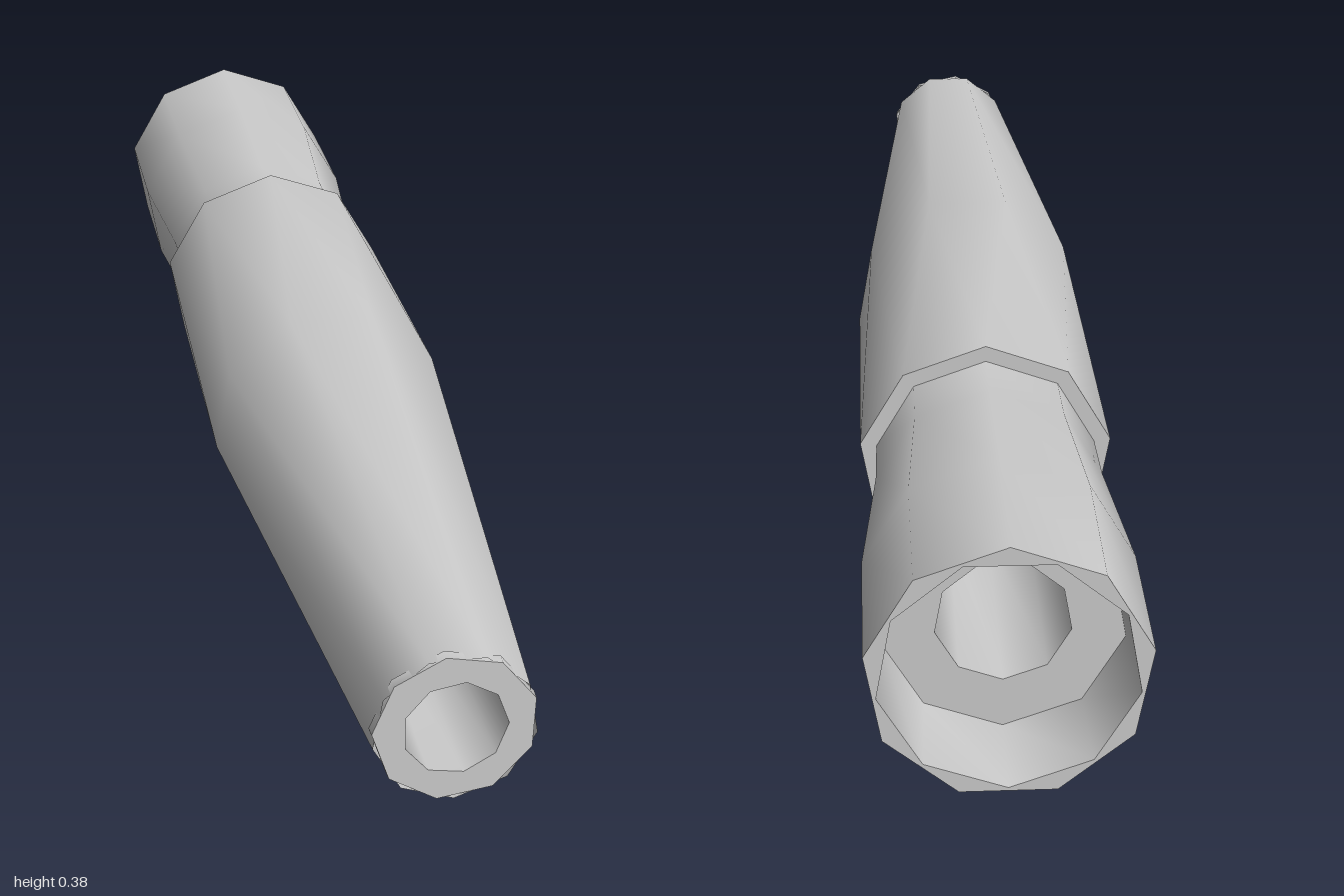
import * as THREE from 'three';

const SIDES = 9;
const AXIS_Y = 0.189;

// Smooth nine-sided strip through rings [z, radius, turn in degrees from straight up].
// Rings run from the front backwards for outward-facing walls.
function strip(rings) {
  const positions = [], index = [];
  rings.forEach(([z, r, turn = 0]) => {
    for (let i = 0; i < SIDES; i++) {
      const t = THREE.MathUtils.degToRad(turn + (i * 360) / SIDES);
      positions.push(r * Math.sin(t), r * Math.cos(t), z);
    }
  });
  for (let k = 0; k < rings.length - 1; k++) {
    for (let i = 0; i < SIDES; i++) {
      const j = (i + 1) % SIDES;
      const a = k * SIDES + i, b = k * SIDES + j;
      index.push(a, b, a + SIDES, b, b + SIDES, a + SIDES);
    }
  }
  const geometry = new THREE.BufferGeometry();
  geometry.setAttribute('position', new THREE.Float32BufferAttribute(positions, 3));
  geometry.setIndex(index);
  geometry.computeVertexNormals();
  return geometry;
}

export function createModel() {
  const group = new THREE.Group();
  group.name = 'taperedTube';
  const material = new THREE.MeshStandardMaterial({ color: 0xcccccc, side: THREE.DoubleSide });

  const parts = {
    // front bore with a pointed bottom
    frontBoreBottom: [[0.53, 0.0005, 10], [0.6, 0.07, 10]],
    frontBore: [[0.6, 0.07, 10], [1, 0.07, 10]],
    tipFace: [[1, 0.07, 10], [1, 0.11, -8]],
    tipLip: [[1, 0.11, -8], [0.985, 0.111, -8]],
    // tapering nose and grip, the grip turning half a side towards its back end
    body: [[1, 0.11, -20], [0.15, 0.188, -20], [-0.43, 0.188, 0]],
    bodyBackFace: [[-0.43, 0.188, 0], [-0.43, 0.164, 0]],
    // narrow neck flaring into the rear socket
    neckAndSocket: [[-0.43, 0.164], [-0.53, 0.166], [-0.77, 0.188], [-1, 0.188]],
    socketRim: [[-1, 0.188, 0], [-1, 0.172, 20]],
    socketWall: [[-1, 0.172, 20], [-0.87, 0.165, 20]],
    socketStep: [[-0.87, 0.165, 20], [-0.87, 0.092, 20]],
    rearBore: [[-0.87, 0.092, 20], [-0.5, 0.09, 20]],
    rearBoreBottom: [[-0.5, 0.09, 20], [-0.5, 0.0005, 20]],
  };

  for (const [name, rings] of Object.entries(parts)) {
    const mesh = new THREE.Mesh(strip(rings), material);
    mesh.name = name;
    mesh.position.y = AXIS_Y;
    group.add(mesh);
  }
  return group;
}
